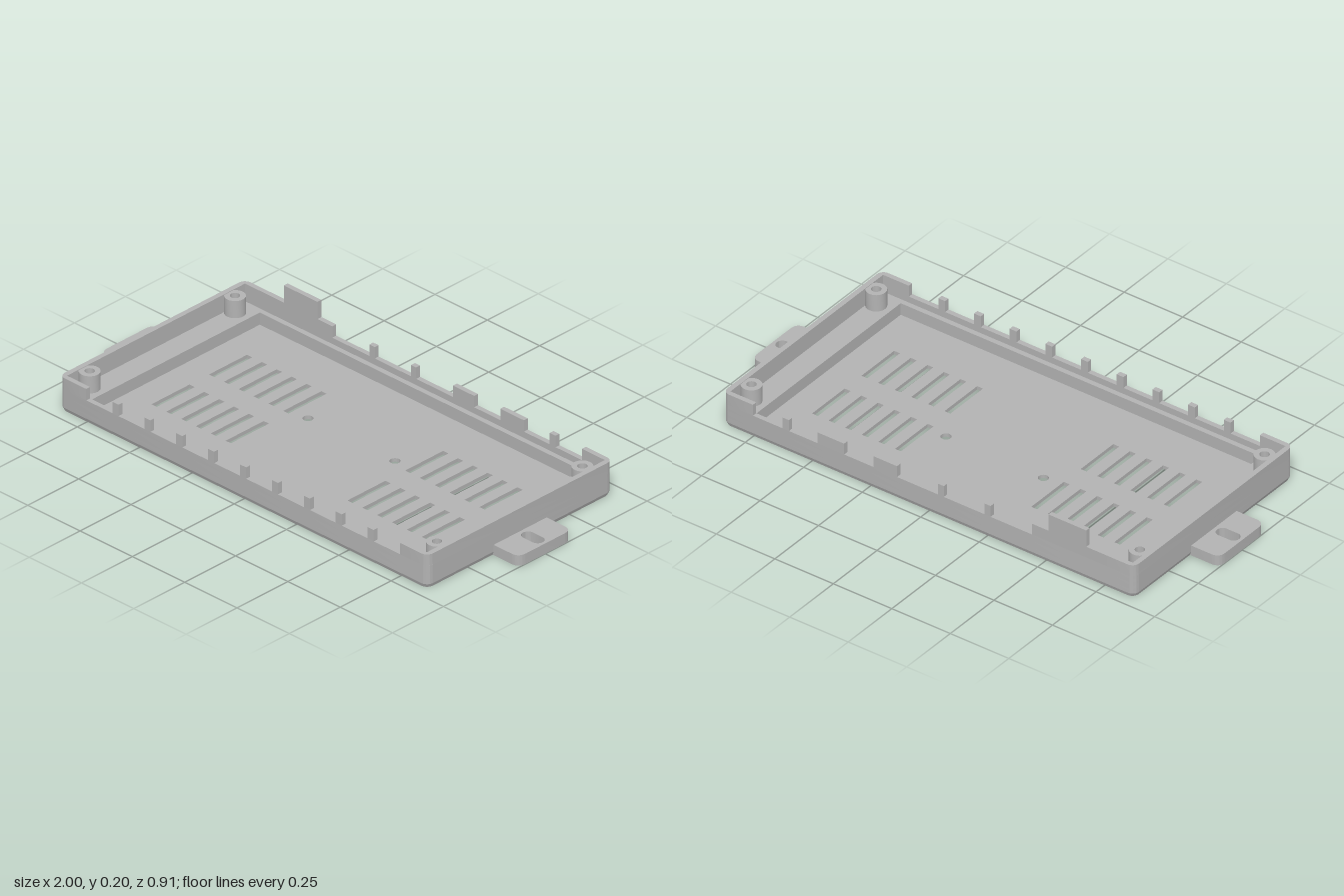
import * as THREE from 'three';
import { toCreasedNormals } from 'three/addons/utils/BufferGeometryUtils.js';

const W = 0.88, D = 0.456;          // outer half sizes
const WALL_X = 0.86, WALL_Z = 0.437; // inner wall half sizes
const NOTCH = 0.087, TOP = 0.132;    // notch floor and wall top

// Rounded rectangle in plan (x, z), as a Shape or a hole Path
function roundRect(x0, z0, x1, z1, r, Type = THREE.Path) {
  const p = new Type();
  p.moveTo(x0 + r, z0);
  p.lineTo(x1 - r, z0);
  p.absarc(x1 - r, z0 + r, r, -Math.PI / 2, 0);
  p.lineTo(x1, z1 - r);
  p.absarc(x1 - r, z1 - r, r, 0, Math.PI / 2);
  p.lineTo(x0 + r, z1);
  p.absarc(x0 + r, z1 - r, r, Math.PI / 2, Math.PI);
  p.lineTo(x0, z0 + r);
  p.absarc(x0 + r, z0 + r, r, Math.PI, Math.PI * 1.5);
  return p;
}

function rect(x0, z0, x1, z1) {
  return new THREE.Path([[x0, z0], [x1, z0], [x1, z1], [x0, z1]].map(([x, z]) => new THREE.Vector2(x, z)));
}

function circle(x, z, r, Type = THREE.Path) {
  const p = new Type();
  p.absarc(x, z, r, 0, Math.PI * 2);
  return p;
}

// Extrude a plan shape between two heights
function slab(shape, y0, y1) {
  const g = new THREE.ExtrudeGeometry(shape, { depth: y1 - y0, bevelEnabled: false, curveSegments: 10 });
  g.rotateX(Math.PI / 2);
  g.translate(0, y1, 0);
  return g;
}

export function createModel() {
  const group = new THREE.Group();
  const grey = new THREE.MeshStandardMaterial({ color: 0xb2b2b2 });
  grey.name = 'grey plastic';

  function add(name, geometry) {
    const mesh = new THREE.Mesh(toCreasedNormals(geometry, 0.6), grey);
    mesh.name = name;
    group.add(mesh);
  }
  const outline = () => roundRect(-W, -D, W, D, 0.028, THREE.Shape);

  const screws = [], recesses = [];
  for (const sx of [-1, 1]) for (const sz of [-1, 1]) {
    screws.push([sx * 0.83, sz * 0.357]);
    recesses.push([sx * 0.828, sz * 0.23]);
  }
  const wideHoles = () => [...screws, ...recesses].map(([x, z]) => circle(x, z, 0.028));
  const screwHoles = () => screws.map(([x, z]) => circle(x, z, 0.018));

  // Floor with vents, two small holes and screw recesses
  const floor = outline();
  floor.holes.push(...wideHoles());
  for (const s of [-1, 1]) {
    for (let i = 0; i < 6; i++) {
      const x = s * (0.291 + i * 0.071);
      floor.holes.push(rect(x - 0.0125, -0.24, x + 0.0125, -0.053));
      floor.holes.push(rect(x - 0.0125, 0.043, x + 0.0125, 0.23));
    }
    floor.holes.push(circle(s * 0.208, -0.076, 0.019));
  }
  const floorGeo = slab(floor, 0, 0.014);
  // Slight chamfer around the bottom edge
  const pos = floorGeo.attributes.position;
  for (let i = 0; i < pos.count; i++) {
    const x = pos.getX(i), z = pos.getZ(i);
    if (pos.getY(i) < 0.001 && (Math.abs(x) > 0.862 || Math.abs(z) > 0.42)) {
      pos.setX(i, x * (1 - 0.005 / W));
      pos.setZ(i, z * (1 - 0.005 / D));
    }
  }
  floorGeo.computeVertexNormals();
  add('floor', floorGeo);

  // Ledge around the floor: recessed lower part, closed upper part
  const lower = outline();
  lower.holes.push(rect(-0.77, -0.417, 0.77, 0.417), ...wideHoles());
  add('lowerLedge', slab(lower, 0.014, 0.034));
  const upper = outline();
  upper.holes.push(rect(-0.77, -0.417, 0.77, 0.417), ...screwHoles());
  add('upperLedge', slab(upper, 0.034, 0.062));

  // Continuous wall up to the notch level
  const wall = outline();
  wall.holes.push(rect(-WALL_X, -WALL_Z, WALL_X, WALL_Z));
  add('wall', slab(wall, 0.062, NOTCH));

  // Full height end walls wrapping round the corners
  for (const s of [-1, 1]) {
    const pts = [[0.75, -D]];
    for (const [cz, a0] of [[-D + 0.028, -90], [D - 0.028, 0]]) {
      for (let i = 0; i <= 8; i++) {
        const a = THREE.MathUtils.degToRad(a0 + i * 11.25);
        pts.push([W - 0.028 + 0.028 * Math.cos(a), cz + 0.028 * Math.sin(a)]);
      }
    }
    pts.push([0.75, D], [0.75, WALL_Z], [WALL_X, WALL_Z], [WALL_X, -WALL_Z], [0.75, -WALL_Z]);
    const end = new THREE.Shape(pts.map(([x, z]) => new THREE.Vector2(s * x, z)));
    add(s > 0 ? 'leftEndWall' : 'rightEndWall', slab(end, NOTCH, TOP));
  }

  // Teeth along the long walls
  function tooth(name, x0, x1, side, y0 = NOTCH, y1 = TOP) {
    const g = new THREE.BoxGeometry(x1 - x0, y1 - y0, D - WALL_Z);
    g.translate((x0 + x1) / 2, (y0 + y1) / 2, side * (D + WALL_Z) / 2);
    add(name, g);
  }
  for (let k = -4; k <= 4; k++) tooth('frontTooth', k * 0.1525 - 0.015, k * 0.1525 + 0.014, 1);
  for (const [a, b] of [[-0.75, -0.443], [-0.266, -0.24], [-0.066, -0.042], [0.134, 0.235], [0.36, 0.473], [0.596, 0.624]]) {
    tooth('backTooth', a, b, -1);
  }
  tooth('tallBackTab', -0.675, -0.514, -1, TOP, 0.2);

  // Corner screw posts
  for (const [x, z] of screws) {
    const post = circle(x, z, 0.038, THREE.Shape);
    post.holes.push(circle(x, z, 0.018));
    add('screwPost', slab(post, 0.062, 0.13));
  }

  // Slotted mounting ears
  for (const s of [-1, 1]) {
    const r = 0.035;
    const ear = new THREE.Shape();
    ear.moveTo(s * (W - 0.004), -0.13);
    ear.lineTo(s * (1 - r), -0.13);
    ear.quadraticCurveTo(s, -0.13, s, -0.13 + r);
    ear.lineTo(s, 0.13 - r);
    ear.quadraticCurveTo(s, 0.13, s * (1 - r), 0.13);
    ear.lineTo(s * (W - 0.004), 0.13);
    ear.holes.push(roundRect(s * 0.941 - 0.047, -0.024, s * 0.941 + 0.047, 0.024, 0.0235));
    add(s > 0 ? 'leftEar' : 'rightEar', slab(ear, 0, 0.041));
  }
  return group;
}
